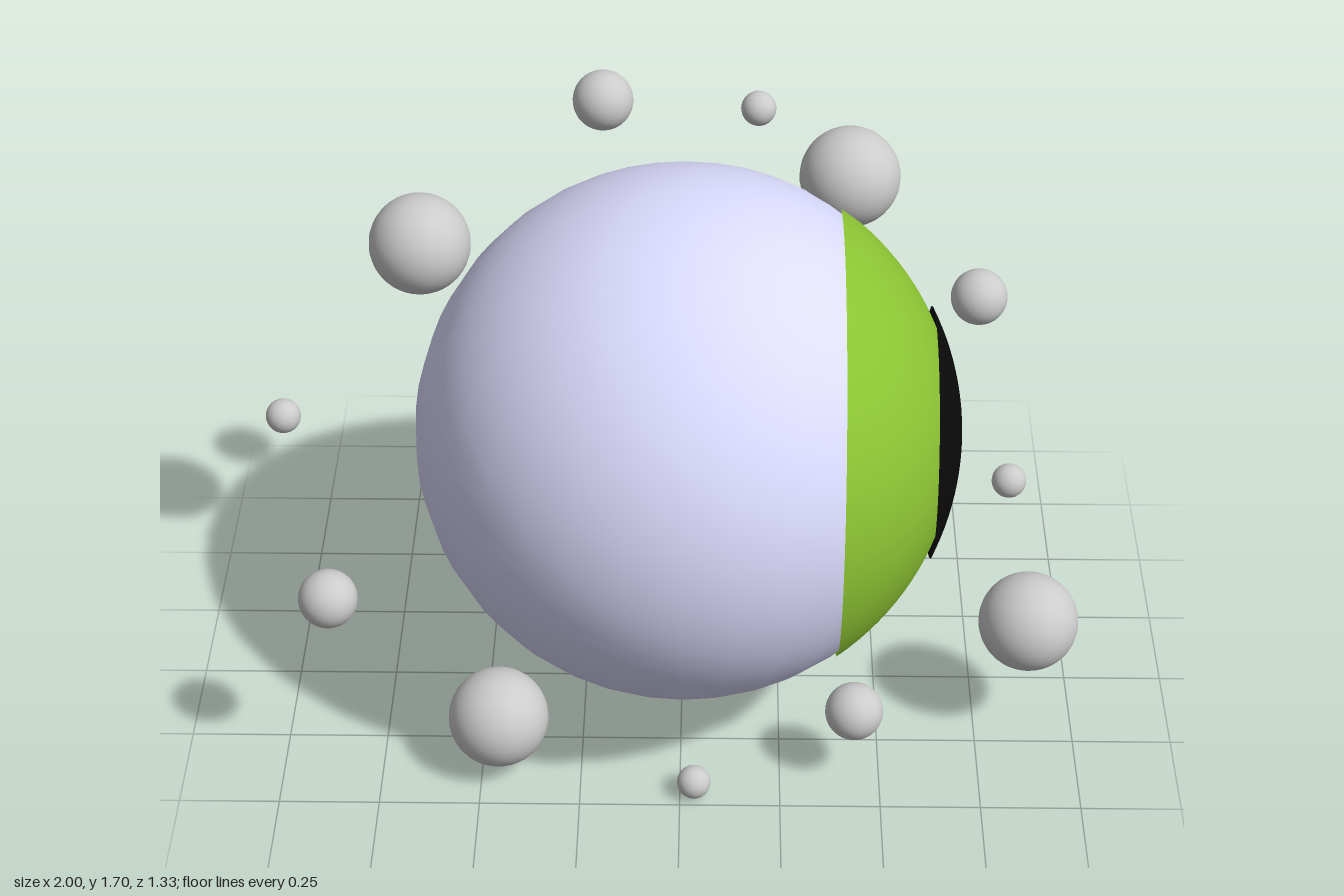
import * as THREE from 'three';

const CENTER = [0.005, 0.795, 0];

// Spherical cap whose pole points to +x
function cap(name, radius, angle, color, rings) {
  const geometry = new THREE.SphereGeometry(radius, 64, rings, 0, Math.PI * 2, 0, angle);
  geometry.rotateZ(-Math.PI / 2);
  const mesh = new THREE.Mesh(geometry, new THREE.MeshStandardMaterial({ color, side: THREE.DoubleSide }));
  mesh.name = name;
  mesh.position.set(...CENTER);
  return mesh;
}

export function createModel() {
  const model = new THREE.Group();
  model.name = 'eyeWithOrbs';

  // Eyeball with iris and pupil shells facing +x
  const eyeball = new THREE.Mesh(
    new THREE.SphereGeometry(0.665, 32, 32),
    new THREE.MeshStandardMaterial({ color: 0xdcdcff })
  );
  eyeball.name = 'eyeball';
  eyeball.position.set(...CENTER);
  model.add(eyeball);
  model.add(cap('iris', 0.673, 0.97, 0x8cc433, 20));
  model.add(cap('pupil', 0.686, 0.473, 0x0a0a0a, 12));

  // Ring of floating orbs, cycling large, medium, small
  const radii = [0.125, 0.072, 0.042];
  const centers = [
    [-0.645, 1.22, -0.185], [-0.19, 1.63, -0.18], [0.18, 1.59, -0.215],
    [0.41, 1.32, -0.35], [0.75, 0.953, -0.37], [0.8, 0.76, 0.15],
    [0.872, 0.34, 0.178], [0.432, 0.217, 0.385], [0.035, 0.045, 0.46],
    [-0.455, 0.163, 0.355], [-0.85, 0.583, 0.41], [-0.958, 0.953, 0.17],
  ];
  const grey = new THREE.MeshStandardMaterial({ color: 0xcccccc });
  const orbs = new THREE.Group();
  orbs.name = 'orbs';
  centers.forEach((p, i) => {
    const orb = new THREE.Mesh(new THREE.SphereGeometry(radii[i % 3], 32, 24), grey);
    orb.name = `orb${i + 1}`;
    orb.position.set(...p);
    orbs.add(orb);
  });
  model.add(orbs);

  return model;
}
